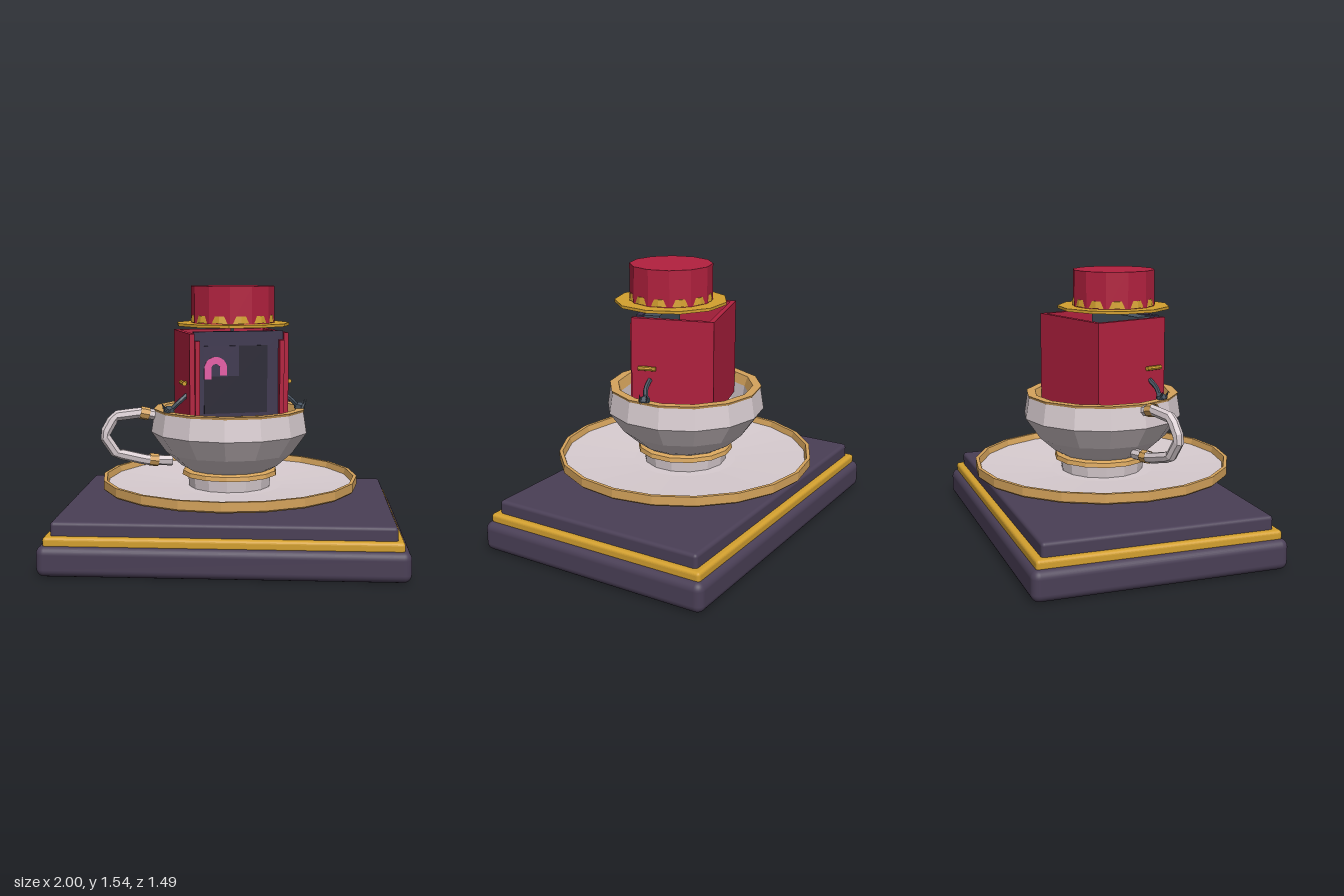
import * as THREE from 'three';
import { RoundedBoxGeometry } from 'three/addons/geometries/RoundedBoxGeometry.js';

const mat = (name, color, flat = false, side = THREE.FrontSide) => {
  const m = new THREE.MeshStandardMaterial({ color, flatShading: flat, side });
  m.name = name;
  return m;
};

export function createModel() {
  const root = new THREE.Group();
  root.name = 'teacupDisplay';

  const plum = mat('plum', 0x4a3f56);
  const gold = mat('gold', 0xd3a02f, true);
  const tan = mat('tanGlaze', 0xd6a45c, true, THREE.DoubleSide);
  const china = mat('china', 0xd8ccd0, true, THREE.DoubleSide);
  const red = mat('red', 0xb3213f, true);
  const bezel = mat('bezel', 0x3f3850, true);
  const black = mat('screenBlack', 0x2b2936, true);
  const slate = mat('slate', 0x46525f, true);
  const pink = mat('pink', 0xe95fa9, true);

  const add = (parent, name, geo, material, x = 0, y = 0, z = 0) => {
    const mesh = new THREE.Mesh(geo, material);
    mesh.name = name;
    mesh.position.set(x, y, z);
    parent.add(mesh);
    return mesh;
  };
  // box given by its lower and upper limits
  const block = (parent, name, material, x0, x1, y0, y1, z0, z1) =>
    add(parent, name, new THREE.BoxGeometry(x1 - x0, y1 - y0, z1 - z0), material,
      (x0 + x1) / 2, (y0 + y1) / 2, (z0 + z1) / 2);
  const lathe = (parent, name, material, pts, sides) =>
    add(parent, name, new THREE.LatheGeometry(pts.map(p => new THREE.Vector2(...p)), sides), material);
  const path = pts => new THREE.CatmullRomCurve3(pts.map(p => new THREE.Vector3(...p)));

  // stepped plinth
  const plinth = new THREE.Group();
  plinth.name = 'plinth';
  root.add(plinth);
  add(plinth, 'plinthBase', new RoundedBoxGeometry(2, 0.17, 1.42, 4, 0.045), plum, 0, 0.085, 0);
  add(plinth, 'plinthBand', new RoundedBoxGeometry(1.93, 0.06, 1.36, 3, 0.018), gold, 0, 0.185, 0);
  add(plinth, 'plinthTop', new RoundedBoxGeometry(1.86, 0.1, 1.285, 3, 0.02), plum, 0, 0.24, 0);

  // saucer
  const saucer = new THREE.Group();
  saucer.name = 'saucer';
  root.add(saucer);
  lathe(saucer, 'saucerDish', china,
    [[0, 0.31], [0.28, 0.312], [0.735, 0.375], [0.73, 0.4], [0.3, 0.375], [0, 0.375]], 20);
  lathe(saucer, 'saucerRim', tan,
    [[0.735, 0.375], [0.745, 0.385], [0.745, 0.435], [0.725, 0.435], [0.715, 0.4]], 20);

  // cup
  const cup = new THREE.Group();
  cup.name = 'cup';
  root.add(cup);
  lathe(cup, 'cupFoot', tan, [[0, 0.445], [0.28, 0.445], [0.275, 0.47], [0.25, 0.48]], 14);
  lathe(cup, 'cupBody', china,
    [[0.24, 0.37], [0.25, 0.48], [0.285, 0.5], [0.375, 0.58], [0.46, 0.7], [0.44, 0.825]], 14);
  lathe(cup, 'cupInside', china, [[0.375, 0.78], [0.36, 0.68], [0.25, 0.54], [0, 0.52]], 14);
  lathe(cup, 'cupRim', tan, [[0.44, 0.82], [0.445, 0.835], [0.395, 0.835], [0.375, 0.78]], 14);

  // cup handle with a ferrule at each end
  const handle = new THREE.Group();
  handle.name = 'cupHandle';
  root.add(handle);
  const bow = new THREE.CurvePath();
  const pts = [[-0.43, 0.80, 0.1], [-0.5, 0.815, 0.12], [-0.65, 0.8, 0.165], [-0.71, 0.69, 0.185],
    [-0.645, 0.585, 0.165], [-0.48, 0.54, 0.12], [-0.33, 0.53, 0.08]].map(p => new THREE.Vector3(...p));
  for (let i = 1; i < pts.length; i++) bow.add(new THREE.LineCurve3(pts[i - 1], pts[i]));
  add(handle, 'handleBow', new THREE.TubeGeometry(bow, 22, 0.031, 7), china);
  [[[-0.46, 0.805, 0.11], [-0.51, 0.817, 0.125]], [[-0.41, 0.535, 0.1], [-0.46, 0.54, 0.115]]].forEach(p =>
    add(handle, 'handleFerrule', new THREE.TubeGeometry(path(p), 1, 0.037, 8), tan));

  // open box turned a little to its left
  const box = new THREE.Group();
  box.name = 'box';
  box.rotation.y = 0.3;
  root.add(box);
  const W = 0.285, D = 0.235, B = 0.72, T = 1.28;
  block(box, 'boxFloor', bezel, -W, W, B, B + 0.03, -D, D);
  block(box, 'boxBack', red, -W, W, B, T, -D, -D + 0.028);
  block(box, 'boxFrontSill', red, -W, W, B, 0.78, D - 0.03, D);
  block(box, 'screenHousing', slate, -0.22, 0.22, 0.78, 1.282, 0.09, 0.19);
  block(box, 'screenBezel', bezel, -0.257, 0.257, 0.78, 1.29, 0.18, 0.215);

  // side walls, front posts, grips and small arms
  for (const s of [-1, 1]) {
    const wall = s * (W - 0.014);
    block(box, 'boxSide', red, wall - 0.014, wall + 0.014, B, T, -D + 0.028, D);
    block(box, 'frontPost', red, s * 0.243 - 0.013, s * 0.243 + 0.013, 0.78, 1.24, 0.2, 0.25);
    const grip = add(box, 'sideGrip', new THREE.CylinderGeometry(0.013, 0.013, 0.1, 8), gold, s * 0.306, 1, 0.14);
    grip.rotation.x = Math.PI / 2;
    block(box, 'gripMount', gold, s * 0.292 - 0.012, s * 0.292 + 0.012, 0.992, 1.008, 0.12, 0.16);
    add(box, 'arm', new THREE.TubeGeometry(
      path([[s * 0.28, 0.93, 0.13], [s * 0.33, 0.89, 0.14], [s * 0.37, 0.85, 0.13]]), 5, 0.014, 6), slate);
    add(box, 'hand', new THREE.DodecahedronGeometry(0.032), slate, s * 0.385, 0.84, 0.13);
    for (const dz of [-0.02, 0.02]) {
      const finger = add(box, 'finger', new THREE.ConeGeometry(0.013, 0.06, 5), slate, s * 0.41, 0.86, 0.13 + dz);
      finger.rotation.z = -s * 0.5;
    }
  }

  // screen, its lit pane and an arch mark
  block(box, 'screen', black, -0.2, 0.165, 0.83, 1.21, 0.214, 0.22);
  block(box, 'screenPane', bezel, -0.2, 0, 1.04, 1.21, 0.219, 0.223);
  const arch = new THREE.Shape();
  arch.moveTo(0.065, 0);
  arch.absarc(0, 0, 0.065, 0, Math.PI, false);
  arch.lineTo(-0.065, -0.06);
  arch.lineTo(-0.025, -0.06);
  arch.lineTo(-0.025, 0);
  arch.absarc(0, 0, 0.025, Math.PI, 0, true);
  arch.lineTo(0.025, -0.04);
  arch.lineTo(0.065, -0.04);
  arch.closePath();
  add(box, 'archMark', new THREE.ExtrudeGeometry(arch, { depth: 0.005, bevelEnabled: false, curveSegments: 10 }),
    pink, -0.135, 1.085, 0.222);

  // studded plate under the screen
  block(box, 'lowerPlate', gold, -0.2, 0.2, 0.765, 0.81, 0.215, 0.245);
  for (let i = -1; i <= 1; i++) {
    add(box, 'plateStud', new THREE.SphereGeometry(0.014, 8, 6), gold, i * 0.14, 0.8, 0.247);
  }

  // top hat hovering on a short stem
  const hat = new THREE.Group();
  hat.name = 'hat';
  hat.position.set(0.022, 0, 0.08);
  root.add(hat);
  add(hat, 'hatBrim', new THREE.CylinderGeometry(0.325, 0.325, 0.016, 11), gold, 0, 1.325, 0);
  add(hat, 'hatCrown', new THREE.CylinderGeometry(0.238, 0.238, 0.21, 12), red, 0, 1.435, 0);
  const band = add(hat, 'hatBand', new THREE.CylinderGeometry(0.237, 0.242, 0.04, 12), gold, 0, 1.357, 0);
  band.rotation.y = Math.PI / 12;
  add(hat, 'hatStem', new THREE.CylinderGeometry(0.012, 0.012, 0.06, 6), slate, 0, 1.3, 0.05);

  return root;
}
